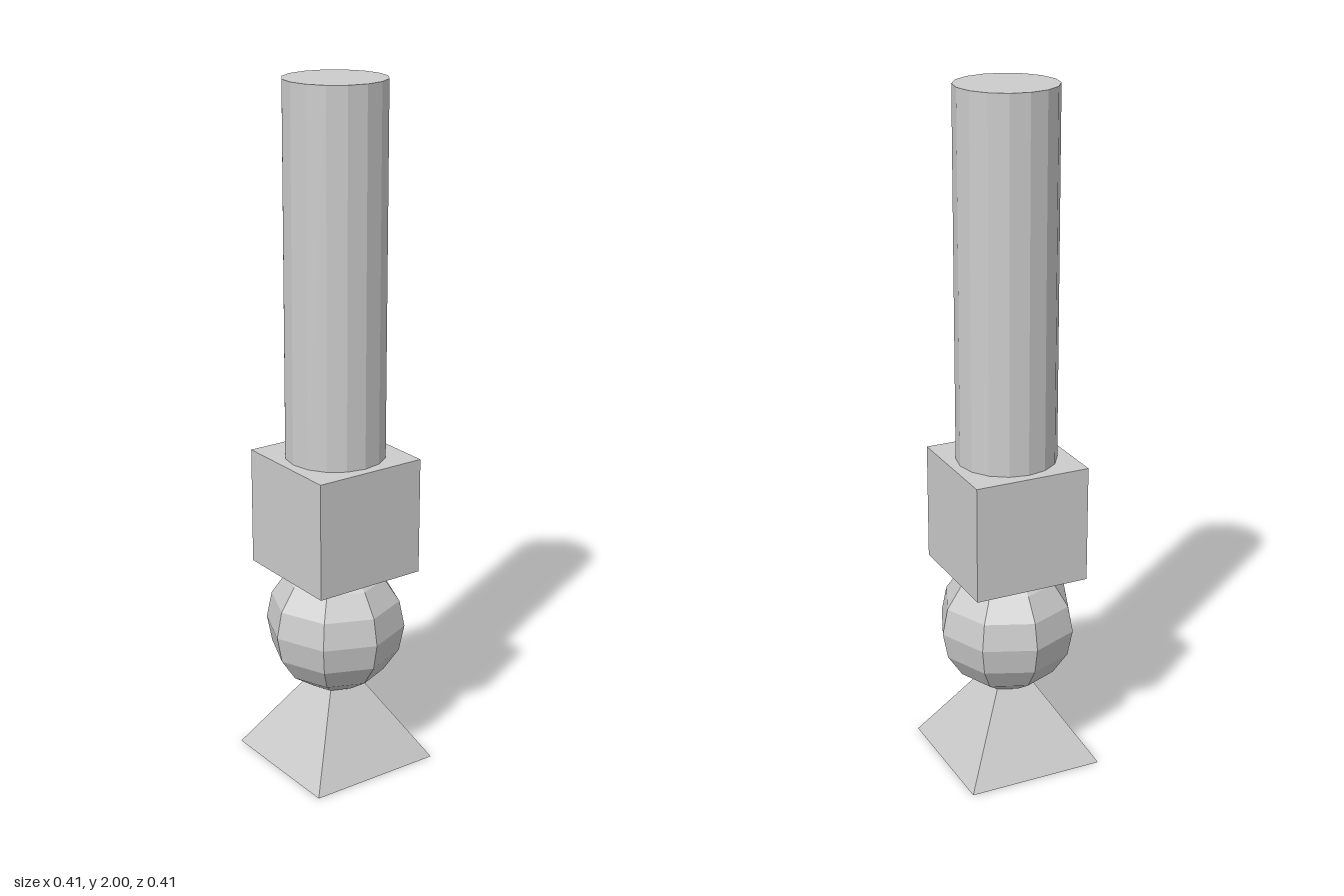
import * as THREE from 'three';

export function createModel() {
  const model = new THREE.Group();
  const grey = new THREE.MeshStandardMaterial({ color: 0xcccccc, flatShading: true });
  grey.name = 'light grey';

  const add = (name, geometry, y) => {
    const mesh = new THREE.Mesh(geometry, grey);
    mesh.name = name;
    mesh.position.y = y;
    model.add(mesh);
  };

  // Square pyramid foot, its tip hidden in the ball
  const half = 0.204;
  const footHeight = 0.33;
  const foot = new THREE.ConeGeometry(half * Math.SQRT2, footHeight, 4);
  foot.rotateY(Math.PI / 4);
  add('pyramidFoot', foot, footHeight / 2);

  // Eight-sided ball
  add('ball', new THREE.SphereGeometry(0.204, 8, 8), 0.424);

  // Cube block resting on the ball
  const size = 0.343;
  add('block', new THREE.BoxGeometry(size, size, size), 0.6 + size / 2);

  // Sixteen-sided column
  const columnBase = 0.6 + size;
  const columnHeight = 2 - columnBase;
  add('column', new THREE.CylinderGeometry(0.144, 0.144, columnHeight, 16), columnBase + columnHeight / 2);

  return model;
}
